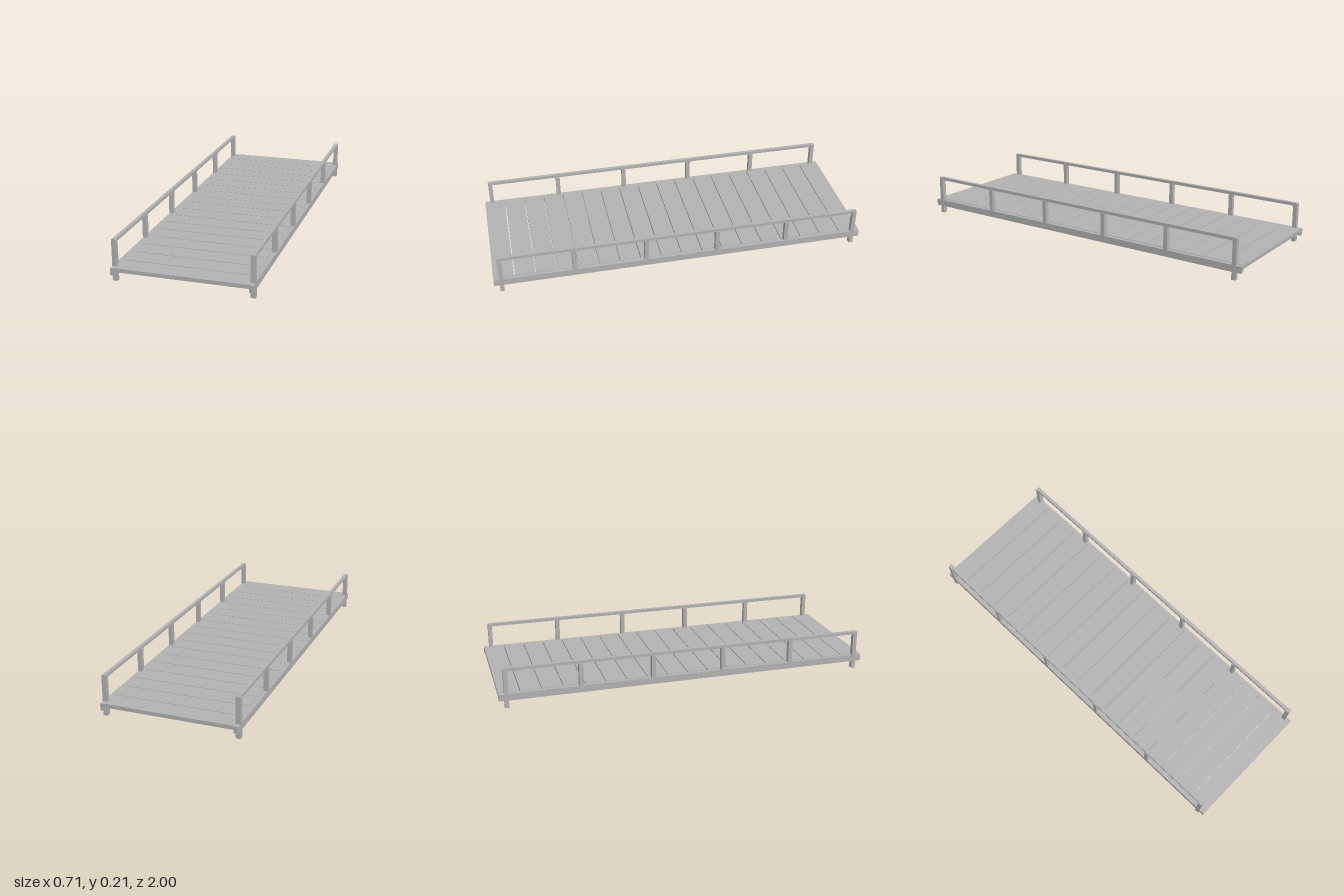
import * as THREE from 'three';

export function createModel() {
  const model = new THREE.Group();
  model.name = 'footbridge';
  const grey = new THREE.MeshStandardMaterial({ color: 0xb2b2b2 });
  grey.name = 'plain grey';

  // Box given by its limits along each axis
  function box(name, x0, x1, y0, y1, z0, z1) {
    const mesh = new THREE.Mesh(new THREE.BoxGeometry(x1 - x0, y1 - y0, z1 - z0), grey);
    mesh.position.set((x0 + x1) / 2, (y0 + y1) / 2, (z0 + z1) / 2);
    mesh.name = name;
    model.add(mesh);
  }

  // Deck planks with narrow gaps
  const planks = 18, pitch = 2 / planks, gap = 0.004;
  for (let i = 0; i < planks; i++) {
    const z = -1 + i * pitch;
    box('deckPlank', -0.334, 0.334, 0.058, 0.078,
      z + (i === 0 ? 0 : gap / 2), z + pitch - (i === planks - 1 ? 0 : gap / 2));
  }

  for (const side of [-1, 1]) {
    const label = side > 0 ? 'left' : 'right';
    const sideBox = (name, inner, outer, ...rest) =>
      box(label + name, Math.min(side * inner, side * outer), Math.max(side * inner, side * outer), ...rest);

    // Long beam along the deck edge
    sideBox('Beam', 0.334, 0.356, 0.04, 0.076, -1, 1);

    // Posts: only the end ones reach the ground
    for (let i = 0; i < 6; i++) {
      const z = -0.96 + i * 0.384;
      const isEnd = i === 0 || i === 5;
      sideBox(isEnd ? 'EndPost' : 'Post', 0.333, 0.357, isEnd ? 0 : 0.07, isEnd ? 0.212 : 0.2,
        z - 0.011, z + 0.011);
    }

    // Handrail
    sideBox('Handrail', 0.336, 0.354, 0.198, 0.214, -0.968, 0.968);
  }
  return model;
}
